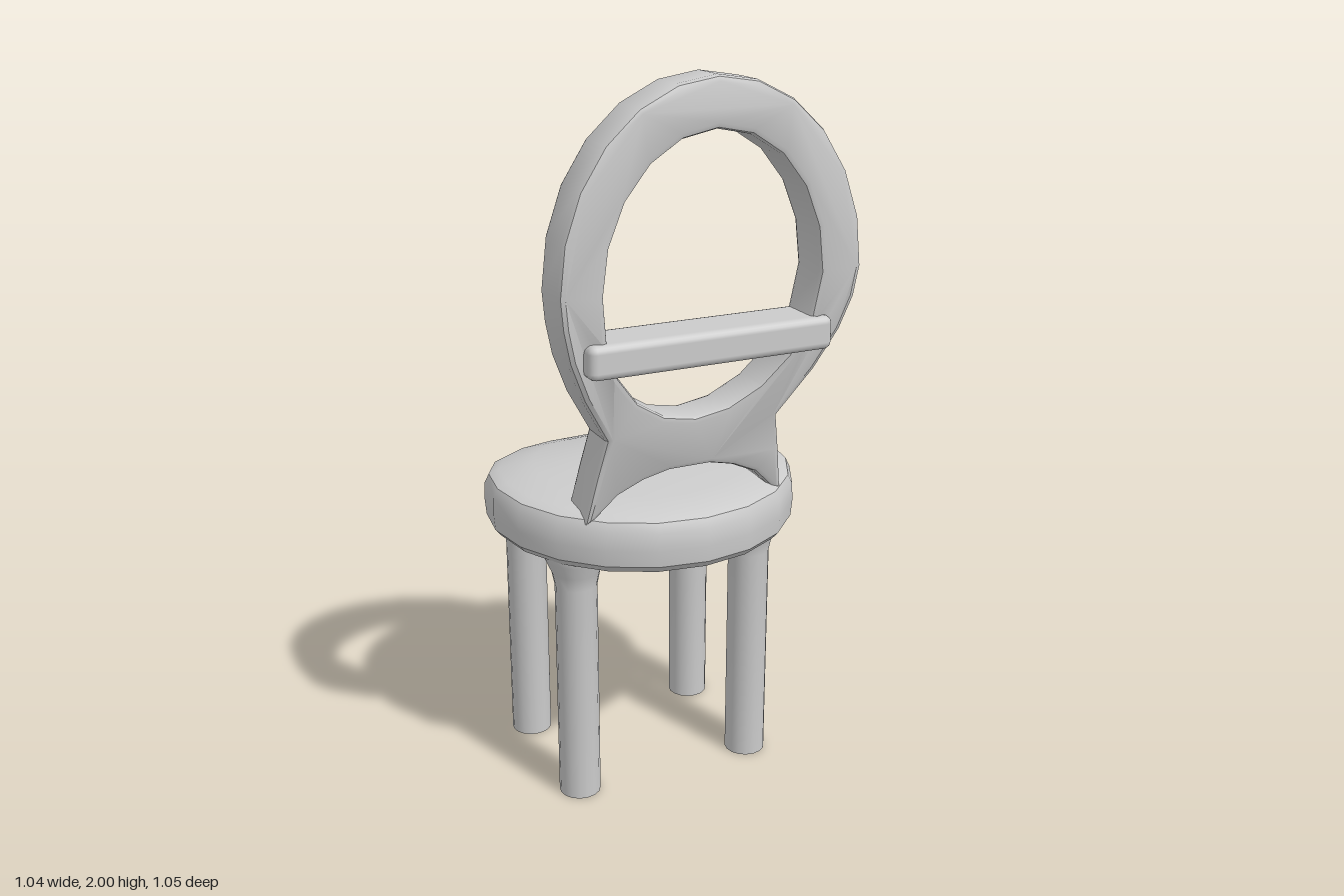
import * as THREE from 'three';
import { toCreasedNormals } from 'three/addons/utils/BufferGeometryUtils.js';
import { RoundedBoxGeometry } from 'three/addons/geometries/RoundedBoxGeometry.js';

const grey = new THREE.MeshStandardMaterial({ color: 0xcccccc });
const V2 = (x, y) => new THREE.Vector2(x, y);

function add(parent, name, geometry, crease = 0.6) {
  const mesh = new THREE.Mesh(crease ? toCreasedNormals(geometry, crease) : geometry, grey);
  mesh.name = name;
  parent.add(mesh);
  return mesh;
}

// Move every vertex by a rule that edits the point in place
function deform(geometry, rule) {
  const pos = geometry.attributes.position;
  const p = new THREE.Vector3();
  for (let i = 0; i < pos.count; i++) {
    rule(p.fromBufferAttribute(pos, i));
    pos.setXYZ(i, p.x, p.y, p.z);
  }
  return geometry;
}

// Depth position of the back's middle surface at height y
const bend = [[0.86, 0.115], [1.1, 0.16], [1.25, 0.215], [1.4, 0.262], [1.52, 0.275], [2, 0.275]];
function backDepth(y) {
  if (y <= bend[0][0]) return bend[0][1];
  for (let i = 1; i < bend.length; i++) {
    const [y0, z0] = bend[i - 1], [y1, z1] = bend[i];
    if (y <= y1) return z0 + (z1 - z0) * (y - y0) / (y1 - y0);
  }
  return bend[bend.length - 1][1];
}

// Round cushion with a domed top and a drooping front edge (front is -z here)
function makeSeat() {
  const profile = [[0, 0.735], [0.2, 0.735], [0.34, 0.735], [0.415, 0.735], [0.432, 0.755], [0.436, 0.8],
    [0.434, 0.85], [0.422, 0.875], [0.395, 0.888], [0.3, 0.899], [0.15, 0.908], [0, 0.91]];
  const seat = new THREE.LatheGeometry(profile.map(p => V2(...p)), 20);
  return deform(seat, p => { if (p.z < 0) p.y -= 0.33 * p.z * p.z; });
}

// Oval ring that narrows into an arched neck with two pointed feet
function makeBack() {
  const pts = [];
  for (let i = 0; i <= 12; i++) {
    const a = Math.PI * i / 12;
    pts.push(V2(0.41 * Math.cos(a), 1.51 + 0.49 * Math.sin(a)));
  }
  const side = [[0.4, 1.43], [0.375, 1.34], [0.325, 1.23], [0.245, 1.1], [0.265, 1.0], [0.288, 0.86]];
  const arch = [[0.26, 0.875], [0.2, 0.935], [0.13, 0.968], [0.06, 0.985]];
  const edge = [...side, ...arch];
  edge.forEach(([x, y]) => pts.push(V2(-x, y)));
  [...edge].reverse().forEach(([x, y]) => pts.push(V2(x, y)));

  const shape = new THREE.Shape(pts);
  const hole = [];
  for (let i = 0; i < 20; i++) {
    const a = -Math.PI * i / 10;
    hole.push(V2(0.295 * Math.cos(a), 1.503 + 0.372 * Math.sin(a)));
  }
  shape.holes.push(new THREE.Path(hole));
  const bevel = 0.015;
  const depth = 0.128;
  const geo = new THREE.ExtrudeGeometry(shape, {
    depth: depth - 2 * bevel, bevelThickness: bevel, bevelSize: bevel, bevelOffset: -bevel, bevelSegments: 2,
  });
  geo.translate(0, 0, bevel - depth / 2);
  return deform(geo, p => { p.z += backDepth(p.y); });
}

// Leg with a flared top
function makeLeg() {
  const profile = [[0, 0], [0.058, 0], [0.058, 0.64], [0.066, 0.68], [0.084, 0.72], [0.088, 0.74], [0, 0.74]];
  return new THREE.LatheGeometry(profile.map(p => V2(...p)), 16);
}

// Arched rail running from front to back
function makeApron() {
  const shape = new THREE.Shape([
    [-0.19, 0.745], [-0.19, 0.62], [-0.13, 0.628], [-0.07, 0.665], [0, 0.678],
    [0.07, 0.665], [0.13, 0.628], [0.19, 0.62], [0.19, 0.745],
  ].map(p => V2(...p)));
  const geo = new THREE.ExtrudeGeometry(shape, { depth: 0.06, bevelEnabled: false });
  return geo.translate(0, 0, -0.03).rotateY(Math.PI / 2);
}

export function createModel() {
  const model = new THREE.Group();
  model.name = 'chair';

  // The chair stands diagonally: local +z is its back
  const chair = new THREE.Group();
  chair.name = 'chairBody';
  chair.rotation.y = Math.PI / 4;
  model.add(chair);

  add(chair, 'seat', makeSeat()).position.set(0.007, 0, -0.134);
  add(chair, 'backrest', makeBack());

  // Crossbar through the ring
  const bar = new RoundedBoxGeometry(0.67, 0.088, 0.15, 2, 0.02);
  add(chair, 'backCrossbar', bar, 0).position.set(0, 1.343, 0.264);

  // Legs and side rails
  for (const s of [-1, 1]) {
    for (const [name, z] of [['frontLeg', -0.19], ['backLeg', 0.19]]) {
      add(chair, name, makeLeg()).position.set(s * 0.265, 0, -0.143 + z);
    }
    add(chair, 'sideApron', makeApron()).position.set(s * 0.265, 0, -0.143);
  }
  return model;
}
